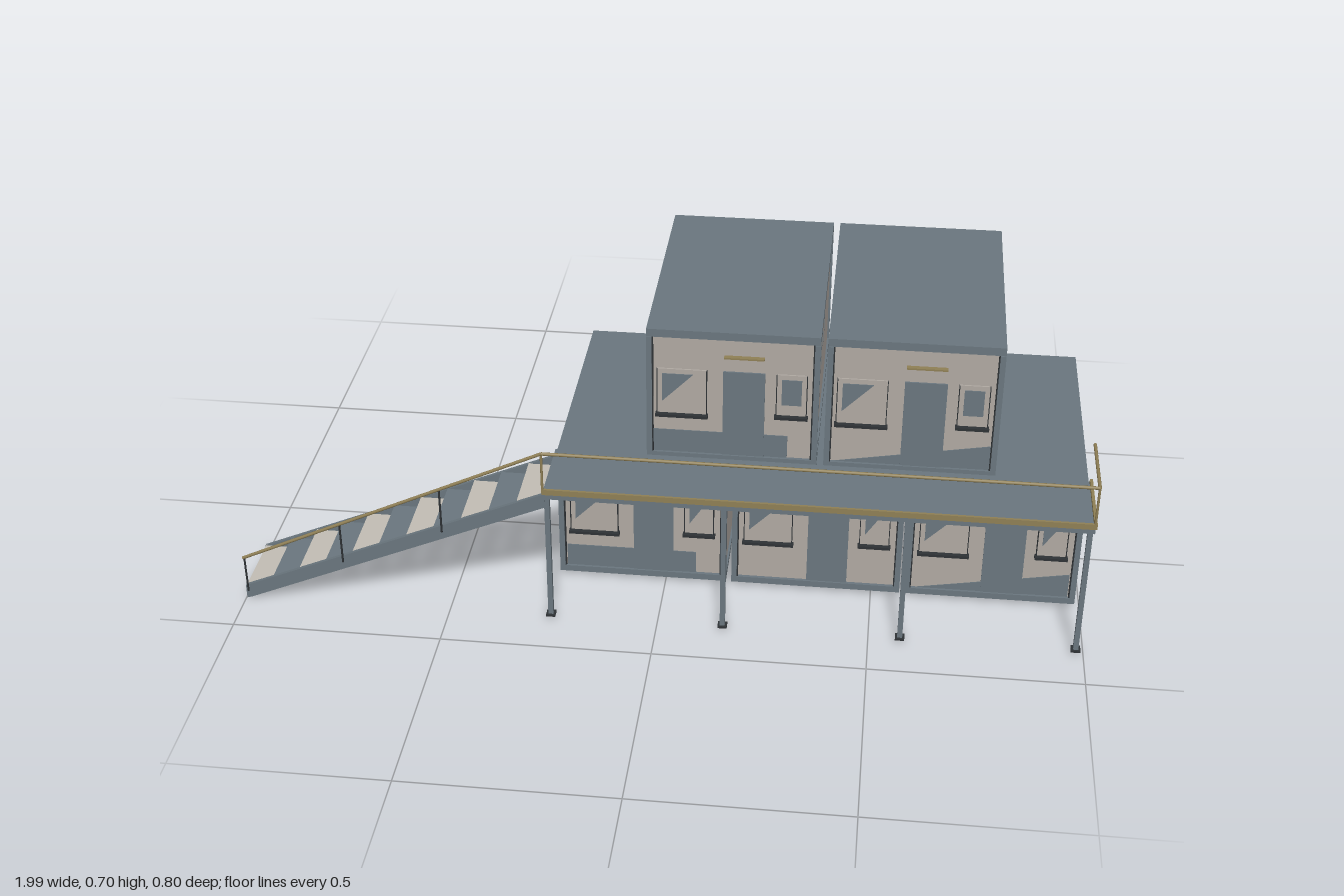
import * as THREE from 'three';

const mat = (name, color) => {
  const m = new THREE.MeshStandardMaterial({ color });
  m.name = name;
  return m;
};

export function createModel() {
  const model = new THREE.Group();
  model.name = 'stackedCabins';
  const wall = mat('wall beige', 0xb0a9a2);
  const steel = mat('steel grey', 0x6a767e);
  const dark = mat('dark trim', 0x2e3235);
  const brass = mat('olive rail', 0x8f7f55);
  const pale = mat('pale tread', 0xc2bdb4);

  // Box given by its minimum and maximum corners
  const box = (parent, name, m, x0, x1, y0, y1, z0, z1) => {
    const mesh = new THREE.Mesh(new THREE.BoxGeometry(x1 - x0, y1 - y0, z1 - z0), m);
    mesh.position.set((x0 + x1) / 2, (y0 + y1) / 2, (z0 + z1) / 2);
    mesh.name = name;
    parent.add(mesh);
    return mesh;
  };
  // Flat outline extruded along z
  const plate = (parent, name, m, pts, z, depth) => {
    const shape = new THREE.Shape(pts.map(p => new THREE.Vector2(p[0], p[1])));
    const mesh = new THREE.Mesh(new THREE.ExtrudeGeometry(shape, { depth, bevelEnabled: false }), m);
    mesh.position.z = z;
    mesh.name = name;
    parent.add(mesh);
  };
  // Round bar between two points
  const bar = (parent, name, m, a, b, r) => {
    const p = new THREE.Vector3(...a), q = new THREE.Vector3(...b);
    const d = q.clone().sub(p);
    const mesh = new THREE.Mesh(new THREE.CylinderGeometry(r, r, d.length(), 8), m);
    mesh.position.copy(p).add(q).multiplyScalar(0.5);
    mesh.quaternion.setFromUnitVectors(new THREE.Vector3(0, 1, 0), d.normalize());
    mesh.name = name;
    parent.add(mesh);
  };

  // Window with side trims, sill and a grey corner of glass
  const addWindow = (g, x0, x1, y0, y1, glass) => {
    box(g, 'windowPane', wall, x0, x1, y0, y1, 0, 0.004);
    for (const x of [x0, x1]) box(g, 'windowTrim', dark, x - 0.001, x + 0.001, y0, y1, 0, 0.008);
    box(g, 'windowSill', dark, x0 - 0.004, x1 + 0.004, y0 - 0.006, y0 + 0.001, 0, 0.015);
    const w = (x1 - x0) * 0.62, h = (y1 - y0) * 0.62, l = x0 + 0.012, t = y1 - 0.012;
    if (glass === 'full') box(g, 'windowGlass', steel, l, x1 - 0.012, t - h, t, 0.003, 0.006);
    else plate(g, 'windowGlass', steel, [[l, t], [l, t - h], [l + w, t]], 0.004, 0.002);
  };
  // Painted base panel on a facade
  const addBasePanel = (g, kind) => {
    if (kind === 'band') box(g, 'basePanel', steel, -0.186, 0.13, 0.014, 0.075, 0, 0.002);
    if (kind === 'wedge') plate(g, 'basePanel', steel, [[-0.186, 0.014], [0.186, 0.014], [0.186, 0.08]], 0, 0.002);
  };

  const zBack = -0.397, zFront = 0.207, height = 0.343;
  // One cabin: walls, steel frame, front and back facades
  const addCabin = (cx, y, w, panel, upper) => {
    const cabin = new THREE.Group();
    cabin.name = upper ? 'upperCabin' : 'lowerCabin';
    cabin.position.set(cx, y, 0);
    model.add(cabin);
    const h = w / 2;
    box(cabin, 'walls', wall, -h + 0.005, h - 0.005, 0.008, height - 0.008, zBack + 0.008, zFront - 0.008);
    box(cabin, 'floorFrame', steel, -h, h, 0, 0.016, zBack, zFront);
    box(cabin, 'roof', steel, -h, h, height - 0.02, height, zBack + 0.005, zFront - 0.003);
    for (const s of [-1, 1]) {
      for (const [z, t] of [[zFront, -1], [zBack, 1]]) {
        const a = z + t * 0.012;
        box(cabin, 'cornerPost', steel, Math.min(s * h, s * (h - 0.013)), Math.max(s * h, s * (h - 0.013)),
          0.016, height - 0.02, Math.min(z, a), Math.max(z, a));
        const x = s * (h - 0.0145);
        box(cabin, 'postSeal', dark, x - 0.0015, x + 0.0015, 0.016, height - 0.02,
          Math.min(z, a) + 0.002, Math.max(z, a) - 0.002);
      }
      // Narrow joint strips on the side walls
      const strips = upper ? [[0.11, 0.155], [0.008, 0.155], [-0.095, 0.155], [-0.193, 0.055]]
        : [[0.11, 0.02], [0.006, 0.15], [-0.095, 0.06], [-0.193, 0.05], [-0.297, 0.06]];
      for (const [z, len] of strips) {
        const x = s * (h - 0.005);
        box(cabin, 'wallJoint', steel, x - 0.001, x + 0.001, height - 0.025 - len, height - 0.025, z - 0.002, z + 0.002);
      }
    }
    const front = new THREE.Group();
    front.name = 'frontFacade';
    front.position.z = zFront - 0.008;
    addWindow(front, -0.175, -0.06, 0.122, 0.24);
    addWindow(front, 0.102, 0.172, 0.132, 0.24, upper ? 'full' : '');
    box(front, 'door', steel, -0.022, 0.075, 0.014, 0.24, 0, 0.004);
    box(front, 'doorCanopy', upper ? brass : steel, -0.02, 0.073, 0.278, 0.282, 0, 0.012);
    addBasePanel(front, panel);
    const back = new THREE.Group();
    back.name = 'backFacade';
    back.position.z = zBack + 0.008;
    back.rotation.y = Math.PI;
    addWindow(back, -0.155, -0.03, 0.125, 0.245);
    addWindow(back, 0.03, 0.155, 0.125, 0.245);
    addBasePanel(back, panel === 'band' ? 'wedge' : panel === 'wedge' ? 'band' : '');
    cabin.add(front, back);
  };
  addCabin(-0.056, 0.01, 0.408, 'band', false);
  addCabin(0.365, 0.01, 0.408, '', false);
  addCabin(0.784, 0.01, 0.408, 'wedge', false);
  addCabin(0.156, 0.357, 0.4, 'band', true);
  addCabin(0.572, 0.357, 0.4, 'wedge', true);

  // Walkway along the front
  const walkway = new THREE.Group();
  walkway.name = 'walkway';
  model.add(walkway);
  box(walkway, 'deck', steel, -0.262, 0.992, 0.343, 0.363, 0.208, 0.394);
  box(walkway, 'frontCurb', brass, -0.264, 0.994, 0.357, 0.371, 0.392, 0.398);
  box(walkway, 'endCurb', brass, 0.988, 0.995, 0.357, 0.371, 0.21, 0.398);
  bar(walkway, 'frontRail', brass, [-0.262, 0.467, 0.395], [0.99, 0.467, 0.395], 0.004);
  bar(walkway, 'endRail', brass, [0.99, 0.467, 0.395], [0.99, 0.467, 0.212], 0.004);
  for (const x of [-0.262, 0.99]) bar(walkway, 'railPost', brass, [x, 0.36, 0.395], [x, 0.467, 0.395], 0.003);
  for (const x of [-0.254, 0.156, 0.574, 0.982]) {
    box(walkway, 'column', steel, x - 0.006, x + 0.006, 0.012, 0.345, 0.378, 0.39);
    box(walkway, 'columnFoot', dark, x - 0.011, x + 0.011, 0.008, 0.013, 0.373, 0.395);
  }

  // Staircase rising to the walkway
  const stairs = new THREE.Group();
  stairs.name = 'stairs';
  model.add(stairs);
  for (const z of [0.216, 0.382]) {
    plate(stairs, 'stringer', steel, [[-0.998, 0], [-0.985, 0.004], [-0.258, 0.318], [-0.258, 0.355], [-0.998, 0.036]], z, 0.009);
  }
  for (let i = 0; i < 11; i++) {
    const x = -0.965 + 0.067 * i, y = 0.036 + 0.029 * i;
    box(stairs, 'tread', i % 2 ? steel : pale, x - 0.03, x + 0.03, y - 0.002, y + 0.002, 0.222, 0.383);
  }
  bar(stairs, 'stairRail', brass, [-0.995, 0.12, 0.395], [-0.262, 0.467, 0.395], 0.004);
  for (const x of [-0.992, -0.75, -0.505]) {
    const y = 0.02 + (x + 0.998) * 0.43;
    bar(stairs, 'stairRailPost', dark, [x, y, 0.393], [x, 0.12 + (x + 0.995) * 0.473, 0.394], 0.0025);
  }
  return model;
}
